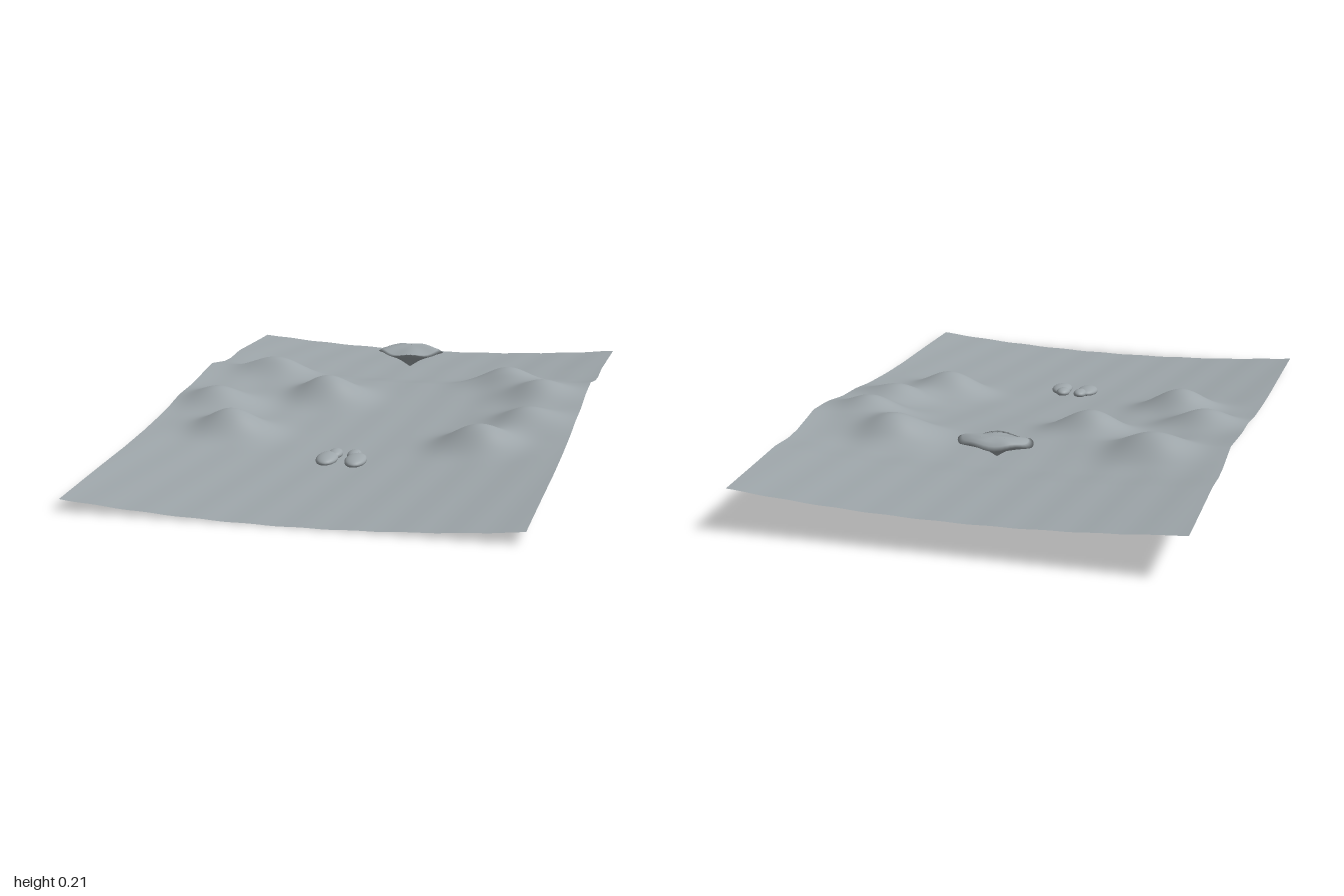
import * as THREE from 'three';

// Centre-line height of the ground: [z, y] from back to front
const PROFILE = [[-1, 0.105], [-0.65, 0.112], [-0.55, 0.103], [-0.48, 0.105], [-0.34, 0.125],
  [0, 0.078], [0.33, 0.045], [0.5, 0.032], [1, 0.005]];

// Mounds: [x, z, height]
const MOUNDS = [[-0.43, -0.37, 0.054], [-0.19, -0.16, 0.072], [-0.52, 0, 0.056], [-0.4, 0.23, 0.072],
  [0.37, -0.4, 0.058], [0.51, -0.22, 0.054], [0.51, 0.02, 0.05], [0.39, 0.23, 0.068]];

function profileAt(z) {
  for (let i = 1; i < PROFILE.length; i++) {
    const [z0, y0] = PROFILE[i - 1], [z1, y1] = PROFILE[i];
    if (z <= z1) return y0 + (y1 - y0) * (z - z0) / (z1 - z0);
  }
  return PROFILE[PROFILE.length - 1][1];
}

function groundHeight(x, z) {
  let y = profileAt(z) + 0.033 * (x / 0.665) ** 2;
  y += 0.0008 * Math.sin(42 * x + 6 * z);
  for (const [mx, mz, h] of MOUNDS) {
    y += h * Math.exp(-(((x - mx) / 0.085) ** 2 + ((z - mz) / 0.07) ** 2) / 1.6);
  }
  return y;
}

// Closed shell from stacked rings, each a function of angle; capped at both ends
function shellFromRings(rings, sides) {
  const pos = [], index = [];
  for (const ring of rings) {
    for (let j = 0; j < sides; j++) pos.push(...ring(j / sides * Math.PI * 2));
  }
  for (let i = 0; i < rings.length - 1; i++) {
    for (let j = 0; j < sides; j++) {
      const a = i * sides + j, b = i * sides + (j + 1) % sides;
      index.push(a, a + sides, b, b, a + sides, b + sides);
    }
  }
  const geo = new THREE.BufferGeometry();
  geo.setAttribute('position', new THREE.Float32BufferAttribute(pos, 3));
  geo.setIndex(index);
  geo.computeVertexNormals();
  return geo;
}

export function createModel() {
  const group = new THREE.Group();
  const stone = new THREE.MeshStandardMaterial({ color: 0x9ea6aa, side: THREE.DoubleSide });
  stone.name = 'grey stone';

  const add = (name, geo, parent = group) => {
    const mesh = new THREE.Mesh(geo, stone);
    mesh.name = name;
    parent.add(mesh);
    return mesh;
  };

  // Dished, sloping ground sheet with mounds
  const ground = new THREE.PlaneGeometry(1.33, 2, 90, 150).rotateX(-Math.PI / 2);
  const p = ground.attributes.position;
  for (let i = 0; i < p.count; i++) p.setY(i, groundHeight(p.getX(i), p.getZ(i)));
  ground.computeVertexNormals();
  add('ground', ground);

  // Floating rock: pointed underside, wavy rim, gently domed top.
  // Each ring: [scale, height, rim waviness, z shift]
  const rings = [[0.01, 0.14, 0, 0.012], [0.3, 0.161, 0.1, 0.012], [0.65, 0.176, 0.5, 0.005], [1, 0.189, 1, 0],
    [0.88, 0.2, 0.6, -0.003], [0.6, 0.208, 0.3, -0.012], [0.3, 0.211, 0, -0.016], [0.01, 0.212, 0, -0.018]]
    .map(([s, y, wave, dz]) => (t) => {
      const c = Math.cos(t), d = Math.sin(t);
      const squash = d < 0 ? 0.073 : 0.083;
      const r = s * (1 + 0.03 * Math.cos(4 * t) * wave);
      // front half of the top slopes down
      const slope = y > 0.19 ? -0.012 * Math.max(0, d) * s : 0;
      return [0.112 * c * r, y + slope + 0.005 * wave * Math.sin(5 * t + 0.6), -0.56 + dz + squash * d * r];
    });
  add('floatingRock', shellFromRings(rings, 40));

  // Pits on top of the rock
  for (const x of [-0.035, 0, 0.038]) {
    const pit = add('rockPit', new THREE.SphereGeometry(0.004, 10, 8));
    pit.position.set(x, 0.207, -0.585);
  }

  // Pair of pebble clusters half sunk in the ground
  for (const side of [-1, 1]) {
    const pebbles = new THREE.Group();
    pebbles.name = side > 0 ? 'leftPebbles' : 'rightPebbles';
    group.add(pebbles);
    const large = add('largePebble', new THREE.SphereGeometry(1, 24, 16), pebbles);
    large.scale.set(0.033, 0.016, 0.054);
    large.position.set(0.003 + side * 0.045, 0.045, 0.412);
    large.rotation.x = 0.08;
    const small = add('smallPebble', new THREE.SphereGeometry(1, 24, 16), pebbles);
    small.scale.set(0.022, 0.014, 0.034);
    small.position.set(0.003 + side * 0.03, 0.05, 0.366);
    small.rotation.x = 0.08;
  }

  return group;
}
